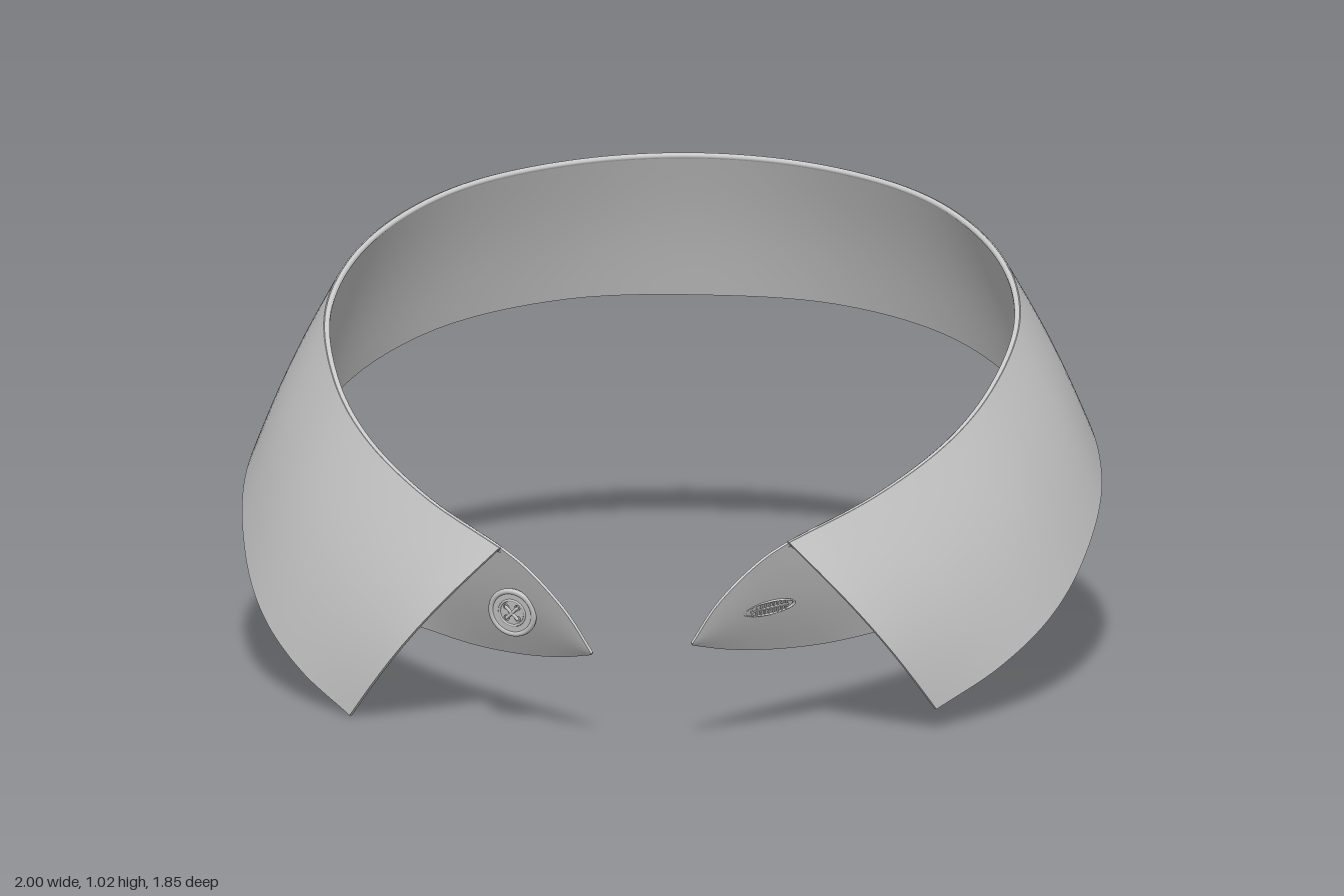
import * as THREE from 'three';
import { mergeGeometries } from 'three/addons/utils/BufferGeometryUtils.js';

const V = (x, y, z) => new THREE.Vector3(x, y, z);
const cloth = new THREE.MeshStandardMaterial({ color: 0xcccccc, side: THREE.DoubleSide });

// Edge curves of the wearer's left half, from centre back to the front
const FOLD = [[0, 1.02, -0.737], [0.3, 1.01, -0.68], [0.565, 0.98, -0.505], [0.745, 0.915, -0.245], [0.812, 0.83, 0.03],
  [0.772, 0.727, 0.29], [0.685, 0.643, 0.48], [0.53, 0.558, 0.68], [0.34, 0.485, 0.85]];
const FALL_HEM = [[0, 0.69, -0.93], [0.36, 0.68, -0.865], [0.69, 0.635, -0.64], [0.915, 0.545, -0.33], [0.998, 0.428, -0.03],
  [0.975, 0.3, 0.22], [0.91, 0.202, 0.4], [0.805, 0.12, 0.55], [0.67, 0.05, 0.68]];
const STAND_HEM = [[0, 0.65, -0.868], [0.33, 0.645, -0.815], [0.63, 0.61, -0.61], [0.83, 0.52, -0.32], [0.875, 0.395, 0],
  [0.785, 0.272, 0.28], [0.645, 0.215, 0.44], [0.51, 0.2, 0.56], [0.4, 0.195, 0.655],
  [0.28, 0.205, 0.76], [0.19, 0.225, 0.845], [0.12, 0.25, 0.915]];
const STAND_TIP = [[0.27, 0.44, 0.885], [0.18, 0.35, 0.918], [0.12, 0.255, 0.92]];
const inset = (pts, k, dy) => pts.map(([x, y, z]) => [x * k, y - dy, z * k]);

// Full curve: right half is the mirrored left half, hanging a little lower in front
function fullCurve(half, drop = 0.035, spread = 0) {
  const right = half.slice(1).reverse().map(([x, y, z]) => {
    const t = Math.max(0, z + 0.3) / 1.2;
    return V(-x - spread * t * t, y - drop * t, z - 0.03 * t);
  });
  return new THREE.CatmullRomCurve3([...right, ...half.map((p) => V(...p))], false, 'centripetal');
}

// Surface ruled between two curves, bulging outwards and more so towards the front ends
function ruled(top, bottom, bulge, endBulge) {
  const flat = (u, v) => top.getPoint(u).lerp(bottom.getPoint(u), v);
  const normal = (u, v) => {
    const c = THREE.MathUtils.clamp(u, 0.012, 0.988), e = 0.004;
    const du = flat(c + e, v).sub(flat(c - e, v));
    return du.cross(flat(c, 1).sub(flat(c, 0))).normalize();
  };
  const point = (u, v, depth = 0) => {
    const b = bulge + (endBulge - bulge) * (2 * u - 1) ** 6;
    const height = flat(u, 0).distanceTo(flat(u, 1));
    return flat(u, v).addScaledVector(normal(u, v), b * height * Math.sin(Math.PI * v) - depth);
  };
  return { point, normal };
}

function grid(f, nu, nv) {
  const pos = [], idx = [];
  for (let j = 0; j <= nv; j++)
    for (let i = 0; i <= nu; i++) pos.push(...f(i / nu, j / nv).toArray());
  for (let j = 0; j < nv; j++)
    for (let i = 0; i < nu; i++) {
      const a = j * (nu + 1) + i, c = a + nu + 1;
      idx.push(a, a + 1, c, a + 1, c + 1, c);
    }
  const g = new THREE.BufferGeometry();
  g.setAttribute('position', new THREE.Float32BufferAttribute(pos, 3));
  g.setIndex(idx);
  g.computeVertexNormals();
  return g;
}

function part(parent, geometry, name, x = 0, y = 0, z = 0) {
  const m = new THREE.Mesh(geometry, cloth);
  m.name = name;
  m.position.set(x, y, z);
  parent.add(m);
  return m;
}

// Sheet of cloth: two faces and four thin rims
function sheet(f, t) {
  const N = 160, M = 12;
  return mergeGeometries([
    grid((u, v) => f(u, v, 0), N, M),
    grid((u, v) => f(1 - u, v, t), N, M),
    grid((u, s) => f(u, 0, t * (1 - s)), N, 1),
    grid((u, s) => f(u, 1, t * s), N, 1),
    grid((s, v) => f(1, v, t * s), 1, M),
    grid((s, v) => f(0, v, t * (1 - s)), 1, M),
  ]);
}

// Places a group on the outside of a surface at the nearest front x, y, turned partly to the front
function placeOn(surface, group, x, y, turn) {
  let best = Infinity;
  for (let i = 0; i <= 120; i++)
    for (let j = 0; j <= 40; j++) {
      const u = (x < 0 ? 0 : 0.75) + 0.25 * i / 120, p = surface.point(u, j / 40);
      const d = Math.hypot(p.x - x, p.y - y);
      if (d < best && p.z > 0) {
        best = d;
        const n = surface.normal(u, j / 40);
        group.position.copy(p).addScaledVector(n, turn * 0.012);
        group.quaternion.setFromUnitVectors(V(0, 0, 1), n.add(V(0, 0, turn)).normalize());
      }
    }
}

function makeButton() {
  const b = new THREE.Group();
  b.name = 'button';
  const disc = new THREE.Shape().absarc(0, 0, 0.056, 0, Math.PI * 2);
  for (const x of [-0.014, 0.014])
    for (const y of [-0.014, 0.014])
      disc.holes.push(new THREE.Path().absarc(x, y, 0.007, 0, Math.PI * 2, true));
  part(b, new THREE.ExtrudeGeometry(disc, { depth: 0.011, bevelEnabled: false, curveSegments: 24 }), 'buttonDisc');
  part(b, new THREE.TorusGeometry(0.054, 0.007, 8, 40), 'buttonRim', 0, 0, 0.008);
  part(b, new THREE.TorusGeometry(0.032, 0.003, 6, 32), 'buttonGroove', 0, 0, 0.011);
  // Crossed sewing thread
  for (const s of [-1, 1]) {
    const thread = part(b, new THREE.CapsuleGeometry(0.004, 0.04, 4, 8), 'buttonThread', 0, 0, 0.012);
    thread.rotation.z = s * Math.PI / 4;
  }
  return b;
}

function makeButtonhole() {
  const h = new THREE.Group();
  h.name = 'buttonhole';
  const ring = part(h, new THREE.TorusGeometry(0.066, 0.004, 6, 40), 'buttonholeEdge', 0, 0, 0.001);
  ring.scale.y = 0.26;
  part(h, new THREE.BoxGeometry(0.1, 0.004, 0.006), 'buttonholeSlit', 0, 0, 0.001);
  // Short stitches across the edge
  for (let i = -4; i <= 4; i++)
    for (const s of [-1, 1])
      part(h, new THREE.BoxGeometry(0.004, 0.009, 0.005), 'buttonholeStitch', i * 0.011, s * 0.009, 0.001);
  return h;
}

export function createModel() {
  const collar = new THREE.Group();
  collar.name = 'shirtCollar';

  // Turned-down outer leaf with pointed tips
  const fall = ruled(fullCurve(FOLD), fullCurve(FALL_HEM, 0.06, 0.05), 0.02, 0.06);
  part(collar, sheet(fall.point, 0.008), 'collarFall');

  // Inner band with rounded front tabs
  const stand = ruled(fullCurve([...inset(FOLD, 0.991, 0.004), ...STAND_TIP]), fullCurve(STAND_HEM), 0.015, 0.05);
  part(collar, sheet(stand.point, 0.007), 'collarStand');

  // Rolled fold joining the two
  part(collar, new THREE.TubeGeometry(fullCurve(inset(FOLD, 0.991, 0.006)), 160, 0.0075, 8), 'foldRoll');

  const button = makeButton(), hole = makeButtonhole();
  placeOn(stand, button, -0.3, 0.3, 1);
  placeOn(stand, hole, 0.29, 0.32, 0.2);
  collar.add(button, hole);
  return collar;
}
